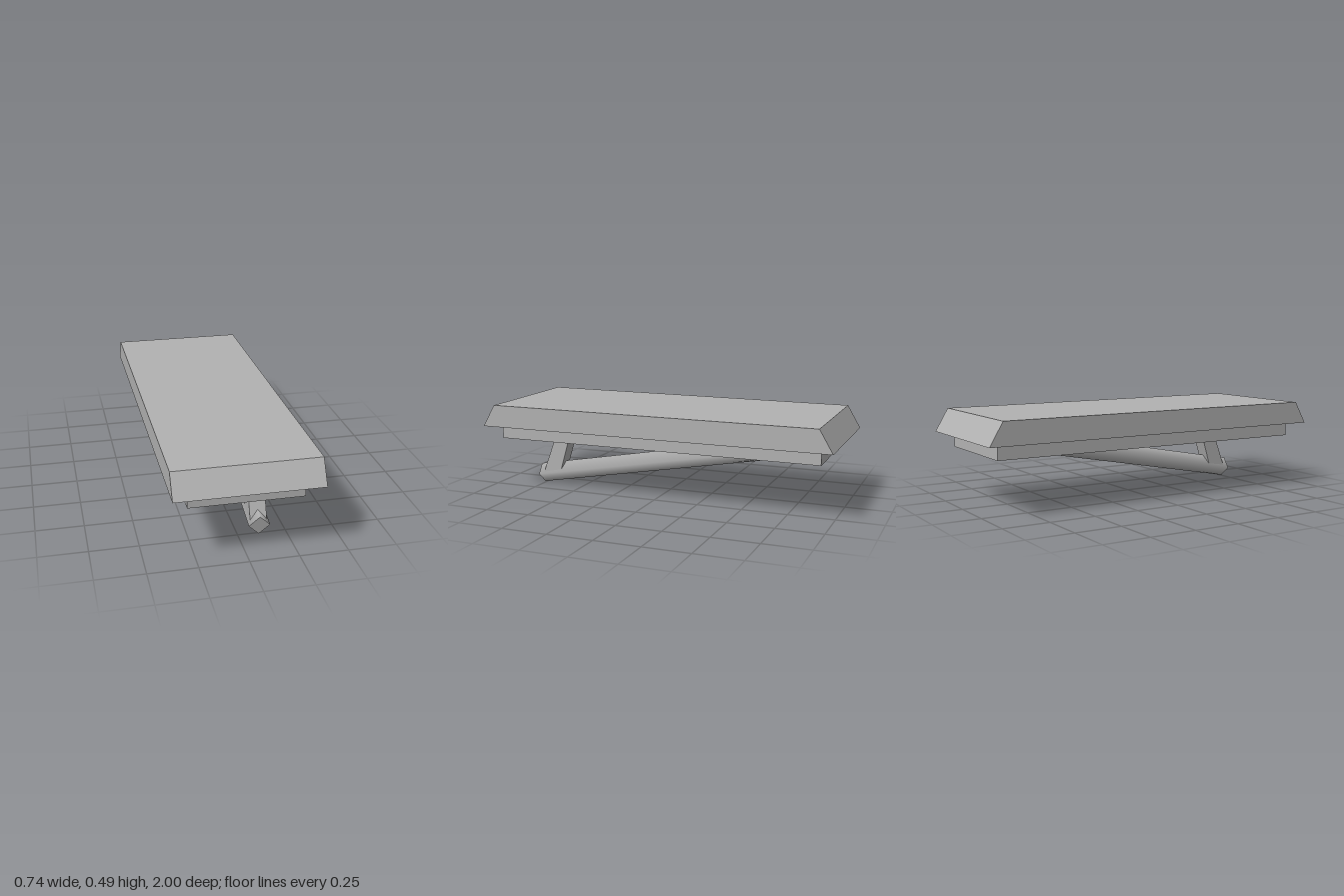
import * as THREE from 'three';

export function createModel() {
  const model = new THREE.Group();
  model.name = 'slabWithBracedRod';
  const grey = new THREE.MeshStandardMaterial({ color: 0xb2b2b2 });
  grey.name = 'grey';

  const add = (name, geometry) => {
    const mesh = new THREE.Mesh(geometry, grey);
    mesh.name = name;
    model.add(mesh);
    return mesh;
  };

  // Prism with a [z, y] side profile, extruded along x
  const sidePrism = (name, profile, width, x = 0) => {
    const shape = new THREE.Shape(profile.map(([z, y]) => new THREE.Vector2(z, y)));
    const geometry = new THREE.ExtrudeGeometry(shape, { depth: width, bevelEnabled: false });
    geometry.translate(0, 0, -width / 2).rotateY(-Math.PI / 2);
    const mesh = add(name, geometry);
    mesh.position.x = x;
    return mesh;
  };

  // Top slab with sloping front and back ends
  sidePrism('topSlab', [[-1, 0.366], [1, 0.366], [0.927, 0.49], [-0.927, 0.49]], 0.742);

  // Narrower slab below
  const base = add('lowerSlab', new THREE.BoxGeometry(0.58, 0.079, 1.85));
  base.position.y = 0.3265;

  // Leaning strut between the lower slab and the rod
  sidePrism('strut', [[0.742, 0.07], [0.63, 0.09], [0.567, 0.3], [0.655, 0.3]], 0.087, 0.11);

  // Slanted four-sided rod standing on its edge, smooth shaded
  const front = new THREE.Vector3(0.108, 0.056, 0.77);
  const back = new THREE.Vector3(0.145, 0.325, -0.67);
  const rod = add('rod', new THREE.CylinderGeometry(0.055, 0.055, front.distanceTo(back), 4).rotateX(Math.PI / 2));
  rod.position.copy(front).add(back).multiplyScalar(0.5);
  rod.lookAt(back);

  return model;
}
